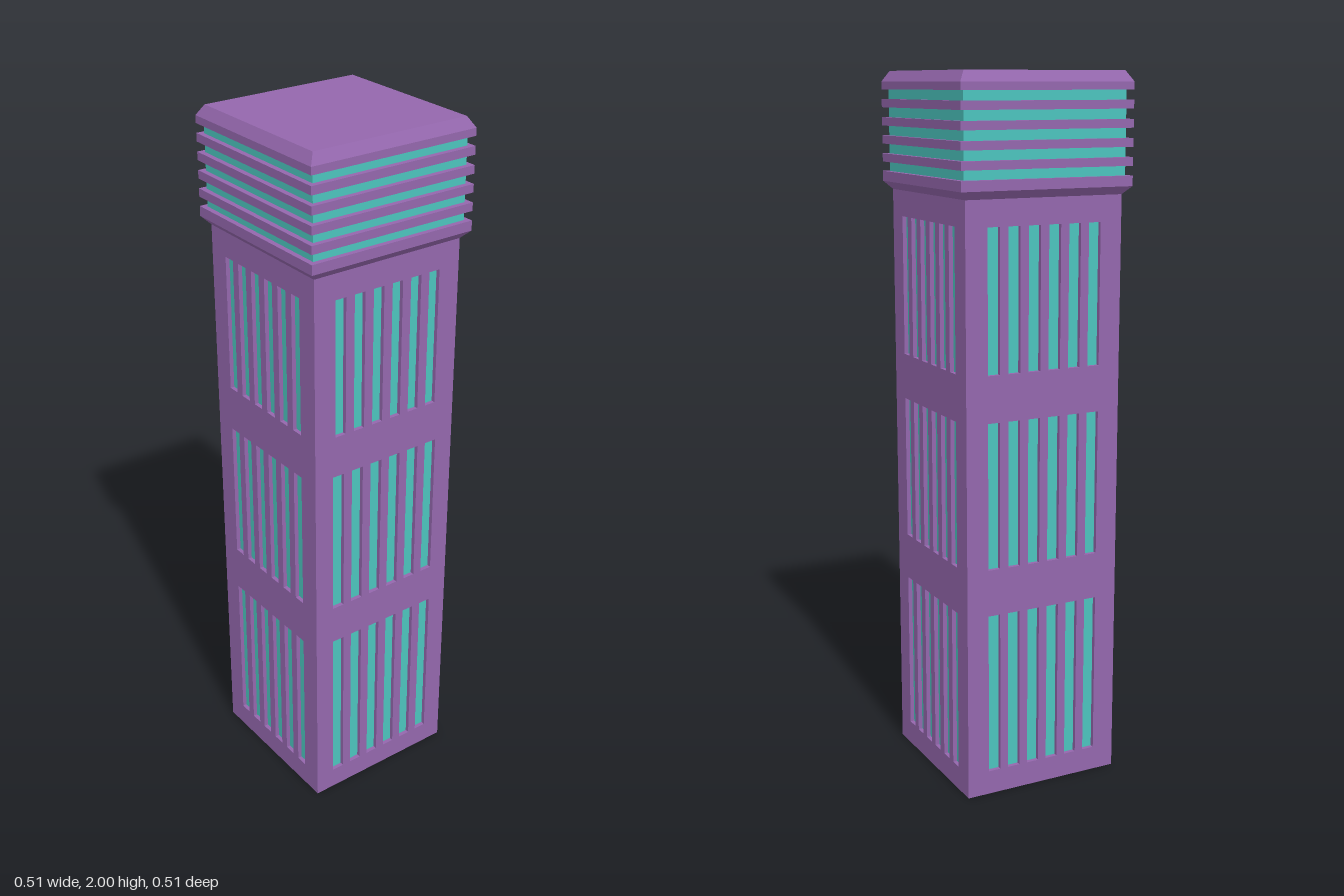
import * as THREE from 'three';

const HALF = 0.235, RECESS = 0.012, BODY_TOP = 1.69;

export function createModel() {
  const tower = new THREE.Group();
  tower.name = 'tower';
  const wallMat = new THREE.MeshStandardMaterial({ color: 0x9467ad, flatShading: true });
  const glassMat = new THREE.MeshStandardMaterial({ color: 0x4cc4bd, flatShading: true });

  const add = (name, geometry, material) => {
    const mesh = new THREE.Mesh(geometry, material);
    mesh.name = name;
    tower.add(mesh);
    return mesh;
  };
  // Square block between two heights
  const block = (name, half, y0, y1, material) => {
    add(name, new THREE.BoxGeometry(half * 2, y1 - y0, half * 2), material).position.y = (y0 + y1) / 2;
  };
  // Square solid from a profile of [half width, height], bottom to top
  const squareTurned = (name, profile) => {
    const points = profile.map(([half, y]) => new THREE.Vector2(half * Math.SQRT2, y));
    add(name, new THREE.LatheGeometry(points, 4, Math.PI / 4), wallMat);
  };
  const rect = (path, x0, y0, x1, y1) => path
    .moveTo(x0, y0).lineTo(x1, y0).lineTo(x1, y1).lineTo(x0, y1).closePath();

  // Window rows: bottom, top, slot pitch, slot width
  const frontRows = [[0.063, 0.545, 0.0635, 0.037], [0.66, 1.09, 0.0635, 0.037], [1.21, 1.603, 0.061, 0.034]];
  const otherRows = [[0.069, 0.534, 0.061, 0.036], [0.667, 1.08, 0.061, 0.036], [1.21, 1.603, 0.061, 0.036]];

  // Wall panel pierced by three rows of six slots
  const wall = (name, rows, half, angle) => {
    const shape = new THREE.Shape();
    rect(shape, -half, 0, half, BODY_TOP);
    for (const [y0, y1, pitch, width] of rows) {
      for (let i = 0; i < 6; i++) {
        const x = (i - 2.5) * pitch;
        const hole = new THREE.Path();
        rect(hole, x - width / 2, y0, x + width / 2, y1);
        shape.holes.push(hole);
      }
    }
    const geometry = new THREE.ExtrudeGeometry(shape, { depth: RECESS, bevelEnabled: false });
    geometry.translate(0, 0, HALF - RECESS).rotateY(angle);
    add(name, geometry, wallMat);
  };
  const inner = HALF - RECESS;
  wall('frontWall', frontRows, HALF, 0);
  wall('leftWall', otherRows, inner, Math.PI / 2);
  wall('backWall', otherRows, HALF, Math.PI);
  wall('rightWall', otherRows, inner, -Math.PI / 2);

  // Glazed core behind the slots, on a solid foot
  block('foot', inner, 0, 0.03, wallMat);
  block('windowCore', inner, 0.03, BODY_TOP, glassMat);

  // Crown: flared ledge, glazed band with thin fins, chamfered roof
  squareTurned('crownLedge', [[0, 1.675], [HALF, 1.675], [0.256, 1.697], [0.256, 1.725], [0, 1.725]]);
  block('crownGlazing', 0.241, 1.72, 1.955, glassMat);
  for (let i = 0; i < 4; i++) {
    const y = 1.751 + i * 0.05;
    block('crownFin' + (i + 1), 0.256, y, y + 0.023, wallMat);
  }
  squareTurned('roof', [[0, 1.95], [0.256, 1.95], [0.256, 1.971], [0.238, 2], [0, 2]]);

  return tower;
}
